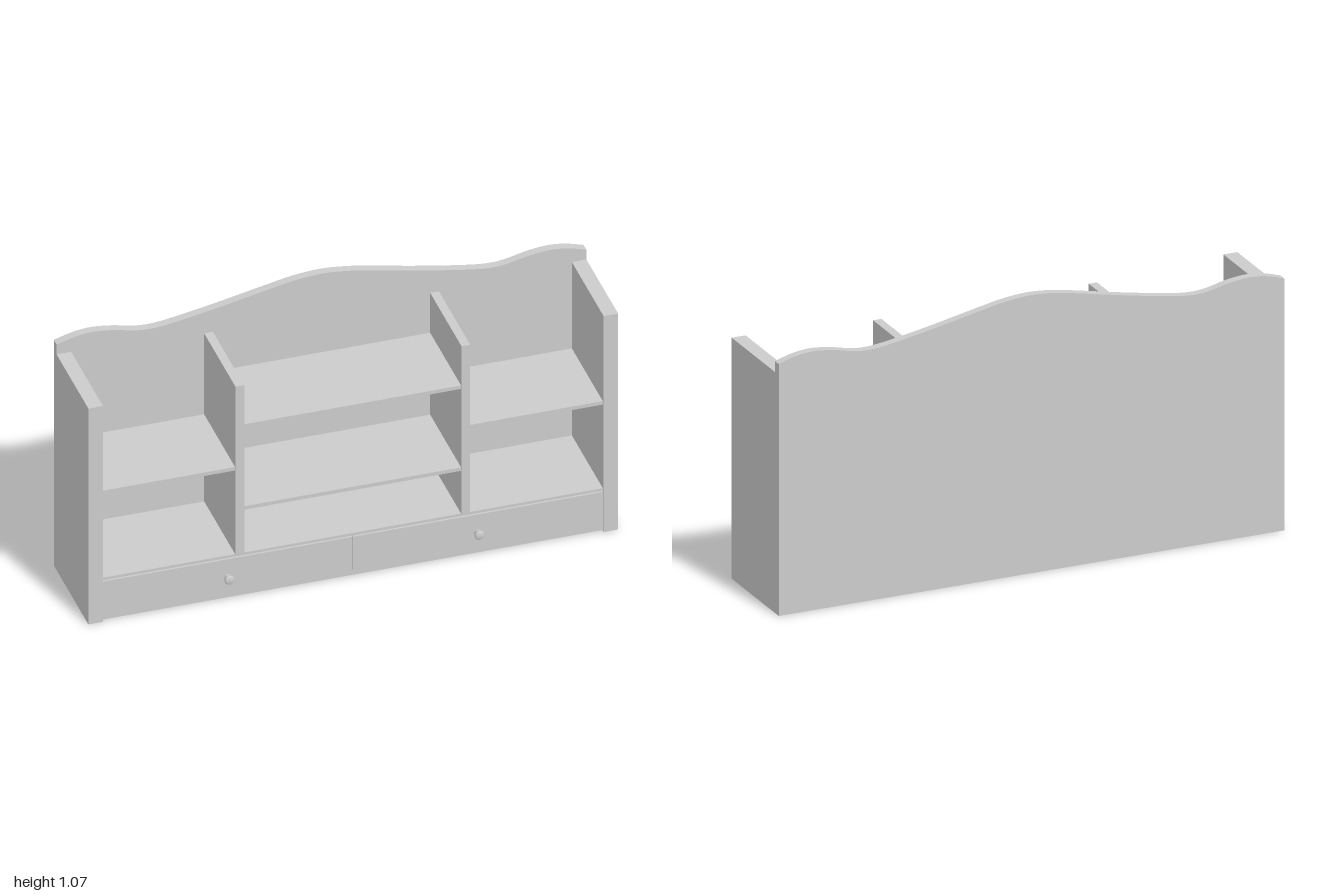
import * as THREE from 'three';

const material = new THREE.MeshStandardMaterial({ color: 0xcccccc });
const BACK = -0.18; // front face of the back panel

function add(parent, name, geometry) {
  const mesh = new THREE.Mesh(geometry, material);
  mesh.name = name;
  parent.add(mesh);
  return mesh;
}

// Box given by its lower and upper limits on each axis
function board(parent, name, x0, x1, y0, y1, z0, z1) {
  const mesh = add(parent, name, new THREE.BoxGeometry(x1 - x0, y1 - y0, z1 - z0));
  mesh.position.set((x0 + x1) / 2, (y0 + y1) / 2, (z0 + z1) / 2);
}

// Board on the left (s = 1) or its mirror image on the right (s = -1)
function sideBoard(parent, name, s, x0, x1, ...rest) {
  board(parent, name, Math.min(s * x0, s * x1), Math.max(s * x0, s * x1), ...rest);
}

// Back panel with a wavy top edge
function backPanel() {
  const half = [[1, 0.972], [0.93, 0.992], [0.86, 0.999], [0.78, 0.99], [0.71, 0.974],
    [0.65, 0.968], [0.57, 0.975], [0.4, 1.005], [0.2, 1.046], [0.1, 1.065]];
  const mirrored = half.map(([x, y]) => [-x, y]).reverse();
  const wave = new THREE.SplineCurve(
    [...half, [0, 1.073], ...mirrored].map(([x, y]) => new THREE.Vector2(x, y)));
  const shape = new THREE.Shape([
    new THREE.Vector2(-1, 0), new THREE.Vector2(1, 0), ...wave.getPoints(80)]);
  const geometry = new THREE.ExtrudeGeometry(shape, { depth: 0.033, bevelEnabled: false });
  return geometry.translate(0, 0, -0.213);
}

// Round drawer knob, turned about the z axis
function knobGeometry() {
  const profile = [[0.013, 0], [0.012, 0.012], [0.018, 0.016], [0.018, 0.024], [0.014, 0.03], [0, 0.03]];
  const geometry = new THREE.LatheGeometry(profile.map(([r, y]) => new THREE.Vector2(r, y)), 24);
  return geometry.rotateX(Math.PI / 2);
}

export function createModel() {
  const group = new THREE.Group();
  group.name = 'deskHutch';

  add(group, 'backPanel', backPanel());

  // Centre shelves between the dividers
  board(group, 'centreUpperShelf', -0.41, 0.41, 0.72, 0.735, BACK, 0.18);
  board(group, 'centreLowerShelf', -0.41, 0.41, 0.367, 0.382, BACK, 0.18);

  for (const s of [1, -1]) {
    const side = s > 0 ? 'left' : 'right';
    sideBoard(group, side + 'SidePanel', s, 0.945, 1, 0, 0.93, BACK, 0.19);
    sideBoard(group, side + 'Divider', s, 0.41, 0.443, 0.183, 0.907, BACK, 0.185);
    sideBoard(group, side + 'Shelf', s, 0.443, 0.945, 0.543, 0.558, BACK, 0.18);

    // Drawer compartment: top, base and drawer with its knob
    sideBoard(group, side + 'CompartmentTop', s, 0, 0.945, 0.172, 0.183, BACK, 0.18);
    sideBoard(group, side + 'CompartmentBase', s, 0, 0.945, 0.003, 0.022, BACK, 0.18);
    sideBoard(group, side + 'Drawer', s, 0.001, 0.944, 0.024, 0.17, BACK, 0.185);
    const knob = add(group, side + 'Knob', knobGeometry());
    knob.position.set(s * 0.472, 0.093, 0.184);
  }
  return group;
}
